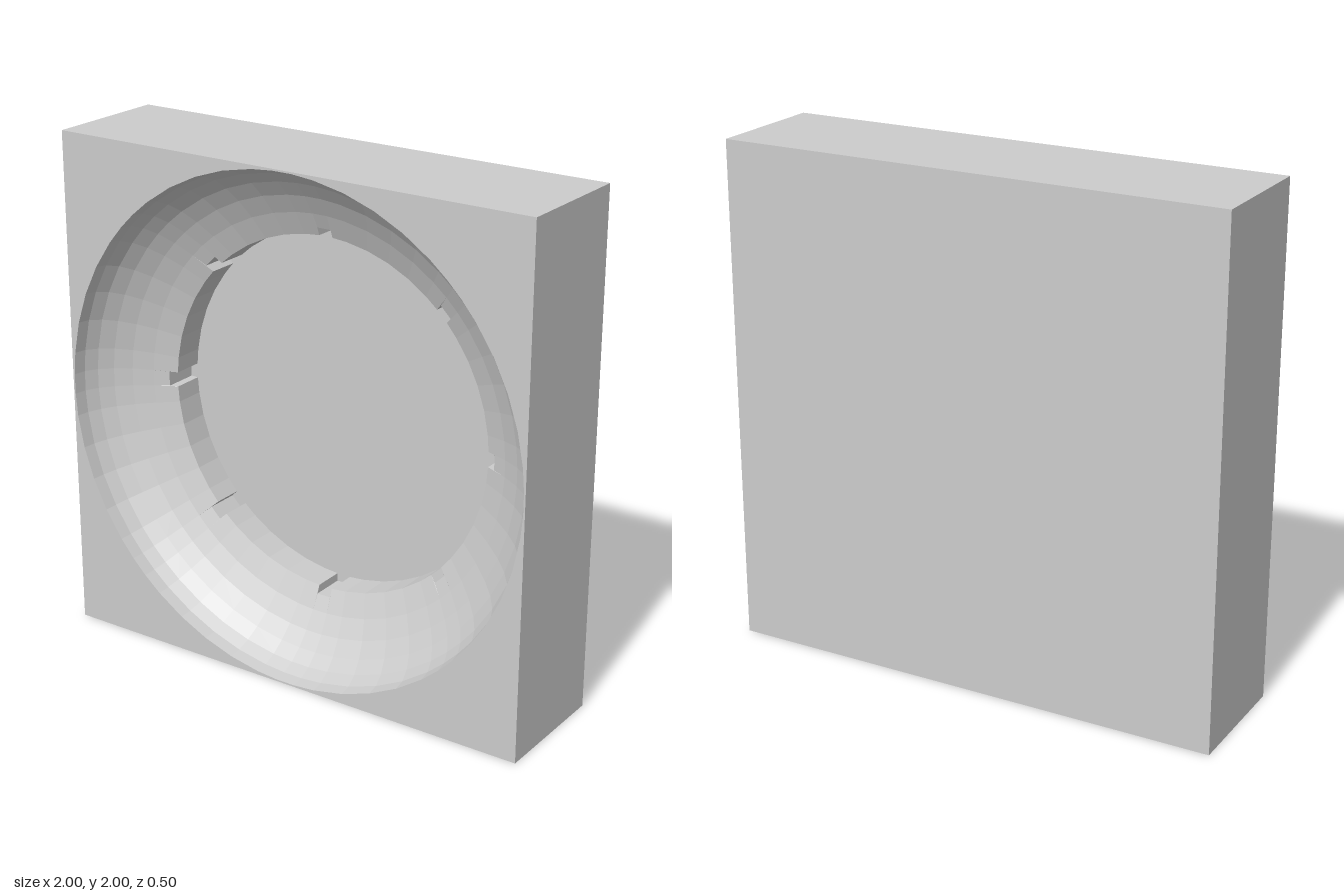
import * as THREE from 'three';

const DEPTH = 0.5;
const FRONT = DEPTH / 2;
const BOWL_R = 0.994;      // bowl radius at the front face
const BOWL_D = 0.375;      // depth of the flattened ellipsoid
const WELL_R = 0.699;      // straight-walled recess inside the bowl
const WELL_D = 0.39;
const NOTCH_R = 0.731;
const NOTCH_HALF = 0.029;
const NOTCHES = 8;

const bowlZ = (r) => FRONT - BOWL_D * Math.sqrt(Math.max(0, 1 - (r / BOWL_R) ** 2));

// Notched outline of the well as polar points, counter-clockwise
function wellOutline() {
  const pts = [];
  const inner = Math.asin(NOTCH_HALF / WELL_R);
  const outer = Math.asin(NOTCH_HALF / NOTCH_R);
  const sector = (Math.PI * 2) / NOTCHES;
  for (let n = 0; n < NOTCHES; n++) {
    const a = n * sector;
    pts.push({ a: a - inner, r: WELL_R }, { a: a - outer, r: NOTCH_R });
    pts.push({ a: a + outer, r: NOTCH_R }, { a: a + inner, r: WELL_R });
    for (let k = 1; k < 6; k++) pts.push({ a: a + (k * sector) / 6, r: WELL_R });
  }
  return pts;
}

const polar = (a, r, z) => new THREE.Vector3(r * Math.cos(a), r * Math.sin(a), z);

// Faceted strip between successive closed rings, facing the axis
function loft(rings) {
  const pos = [];
  for (let i = 0; i < rings.length - 1; i++) {
    const top = rings[i], low = rings[i + 1];
    for (let j = 0; j < top.length; j++) {
      const k = (j + 1) % top.length;
      for (const p of [top[j], top[k], low[j], top[k], low[k], low[j]]) pos.push(p.x, p.y, p.z);
    }
  }
  const geo = new THREE.BufferGeometry();
  geo.setAttribute('position', new THREE.Float32BufferAttribute(pos, 3));
  geo.computeVertexNormals();
  return geo;
}

export function createModel() {
  const group = new THREE.Group();
  const material = new THREE.MeshStandardMaterial({ color: 0xcccccc, flatShading: true });
  const add = (name, geo, z = 0) => {
    const mesh = new THREE.Mesh(geo, material);
    mesh.name = name;
    mesh.position.set(0, 1, z);
    group.add(mesh);
  };
  const outline = wellOutline();
  const flat = (ring) => ring.map((p) => new THREE.Vector2(p.x, p.y));

  // Block sides and back: a box without its front (+z) face
  const box = new THREE.BoxGeometry(2, 2, DEPTH);
  const index = Array.from(box.index.array);
  index.splice(24, 6);
  box.setIndex(index);
  box.clearGroups();
  add('blockSidesAndBack', box);

  // Bowl rings every 7.5 degrees, ending on the notched edge of the well
  const rings = [];
  for (let i = 0; i <= 5; i++) {
    const t = (i * Math.PI) / 24;
    const r = BOWL_R * Math.cos(t);
    rings.push(outline.map((p) => polar(p.a, r, FRONT - BOWL_D * Math.sin(t))));
  }
  const edge = outline.map((p) => polar(p.a, p.r, bowlZ(p.r)));
  const base = outline.map((p) => polar(p.a, p.r, FRONT - WELL_D));
  add('bowl', loft([...rings, edge]));
  add('wellWall', loft([edge, base]));
  add('wellFloor', new THREE.ShapeGeometry(new THREE.Shape(flat(base))), FRONT - WELL_D);

  // Front face with the round opening
  const face = new THREE.Shape([[-1, -1], [1, -1], [1, 1], [-1, 1]].map(([x, y]) => new THREE.Vector2(x, y)));
  face.holes.push(new THREE.Path(flat(rings[0])));
  add('frontFace', new THREE.ShapeGeometry(face), FRONT);

  return group;
}
